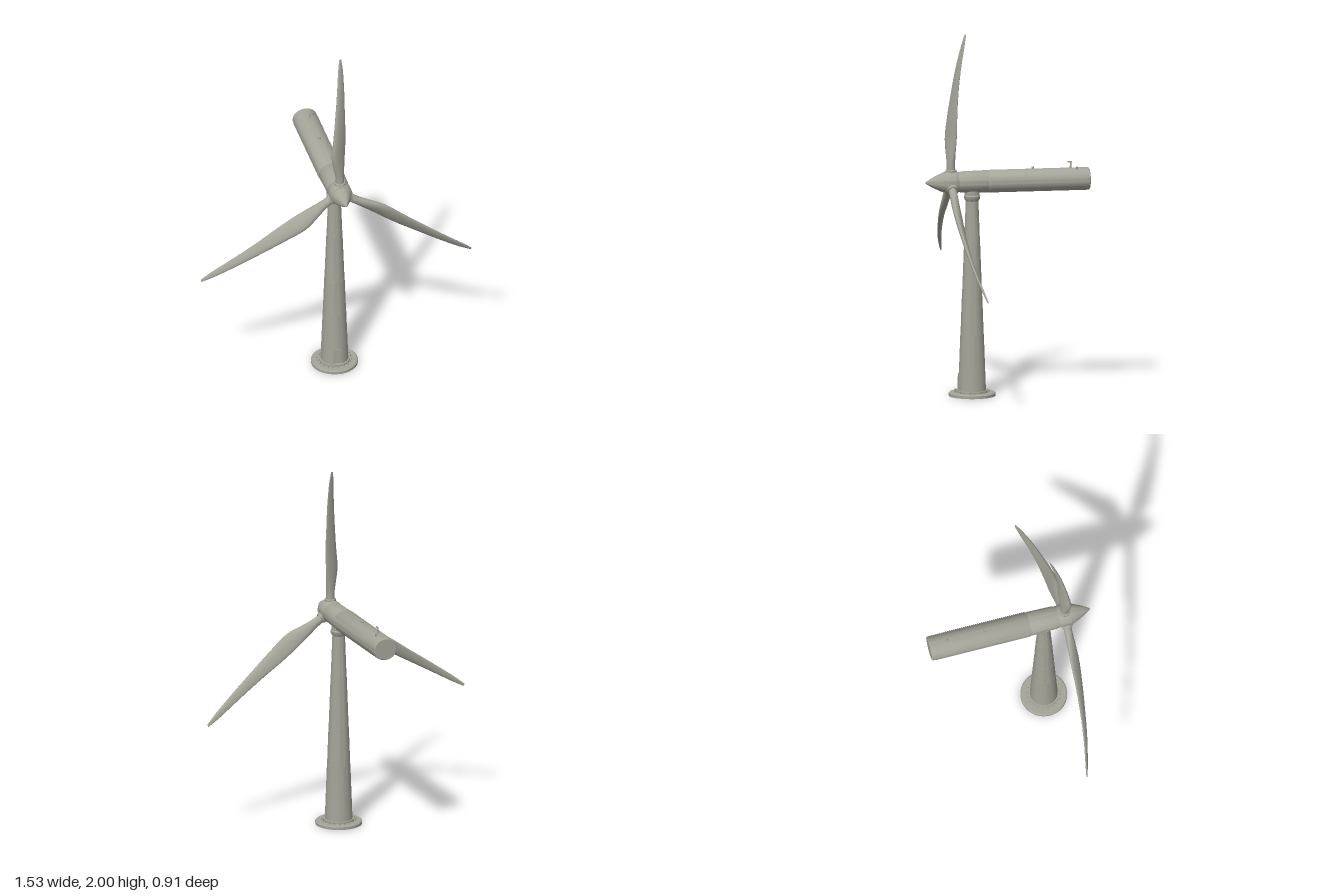
import * as THREE from 'three';
import { toCreasedNormals } from 'three/addons/utils/BufferGeometryUtils.js';

const TOWER_Z = 0.195, AXIS_Y = 1.183;

export function createModel() {
  const group = new THREE.Group();
  const paint = new THREE.MeshStandardMaterial({ color: 0xa5a499 });
  paint.name = 'warm grey paint';

  const add = (name, geometry, x = 0, y = 0, z = 0) => {
    const mesh = new THREE.Mesh(geometry, paint);
    mesh.name = name;
    mesh.position.set(x, y, z);
    group.add(mesh);
    return mesh;
  };
  // Turned part from [radius, height] pairs; edges sharper than 35 degrees stay crisp
  const turned = (pairs, segments = 40, start = 0, sweep = Math.PI * 2) => toCreasedNormals(
    new THREE.LatheGeometry(pairs.map(p => new THREE.Vector2(...p)), segments, start, sweep), 0.6);
  // The same, lying along z
  const lying = (...args) => turned(...args).rotateX(Math.PI / 2);

  // Foundation disc
  add('base', turned([[0, 0], [0.128, 0], [0.128, 0.015], [0.122, 0.02], [0.085, 0.02], [0.085, 0.03], [0, 0.03]]), 0, 0, TOWER_Z);
  const BOLTS = 20;
  for (let i = 0; i < BOLTS; i++) {
    const a = i / BOLTS * Math.PI * 2;
    add('baseBolt', new THREE.CylinderGeometry(0.004, 0.004, 0.01, 6),
      Math.cos(a) * 0.093, 0.024, TOWER_Z + Math.sin(a) * 0.093);
  }

  // Tapered tower sections with a slight step at each joint
  const levels = [0.03, 0.34, 0.55, 0.85, 1.09];
  const radiusAt = y => 0.077 - 0.04 * y;
  for (let i = 0; i < levels.length - 1; i++) {
    const [y0, y1] = [levels[i], levels[i + 1]];
    add('towerSection', turned([[radiusAt(y0), y0], [radiusAt(y1) + 0.001, y1 - 0.006],
      [radiusAt(y1) + 0.001, y1], [radiusAt(y1) - 0.004, y1]]), 0, 0, TOWER_Z);
  }
  // Yaw bearing under the nacelle
  add('yawCollar', turned([[0.033, 1.075], [0.043, 1.09], [0.045, 1.105], [0.04, 1.11], [0.04, 1.15]]), 0, 0, TOWER_Z);

  // Door with a small step
  const door = add('door', new THREE.BoxGeometry(0.036, 0.085, 0.008), 0, 0.082, TOWER_Z + 0.073);
  door.rotation.x = -0.04;
  add('doorStep', new THREE.BoxGeometry(0.04, 0.012, 0.025), 0, 0.032, TOWER_Z + 0.08);

  // Nacelle, slightly wider than tall
  const nacelle = add('nacelle', lying([[0, -0.452], [0.058, -0.452], [0.062, -0.447], [0.062, 0.105],
    [0.06, 0.108], [0.06, 0.112], [0.061, 0.115], [0.058, 0.25], [0.054, 0.275], [0, 0.275]], 48), 0, AXIS_Y, 0);
  nacelle.scale.x = 1.1;
  // Long curved covers on both sides
  for (const side of [1, -1]) {
    const sweep = 1.35, start = side > 0 ? 0.7 : -0.7 - sweep;
    const cover = add('sideCover', lying([[0.06, -0.43], [0.0635, -0.43], [0.0635, 0.1], [0.06, 0.1]], 16, start, sweep), 0, AXIS_Y, 0);
    cover.scale.x = 1.1;
  }
  // Roof instruments
  add('roofSensor', new THREE.CylinderGeometry(0.006, 0.008, 0.014, 10), 0.003, 1.25, -0.14);
  add('windMast', new THREE.CylinderGeometry(0.004, 0.005, 0.04, 8), 0.003, 1.26, -0.35);
  add('windVane', new THREE.BoxGeometry(0.006, 0.008, 0.022), 0.003, 1.278, -0.345);
  add('mastStub', new THREE.CylinderGeometry(0.003, 0.003, 0.02, 6), 0.028, 1.245, -0.38);

  // Hub and pointed spinner
  add('hub', lying([[0, 0.268], [0.052, 0.268], [0.061, 0.28], [0.063, 0.3], [0.063, 0.335], [0.058, 0.35], [0, 0.35]]), 0, AXIS_Y, 0);
  add('spinner', lying([[0.056, 0.345], [0.053, 0.36], [0.042, 0.385], [0.028, 0.413], [0.012, 0.441], [0.004, 0.452], [0, 0.455]]), 0, AXIS_Y, 0);

  // Blades: angle in the rotor plane (clockwise from the front) and length
  for (const [degrees, length] of [[0, 0.817], [124.2, 0.933], [-124.6, 0.912]]) {
    const arm = new THREE.Group();
    arm.name = 'bladeArm';
    arm.position.set(0, AXIS_Y, 0);
    arm.rotation.z = -THREE.MathUtils.degToRad(degrees);
    const blade = new THREE.Mesh(bladeGeometry(length), paint);
    blade.name = 'blade';
    const socket = new THREE.Mesh(turned([[0.031, 0.02], [0.031, 0.066], [0.028, 0.07], [0.02, 0.07]], 24), paint);
    socket.name = 'bladeSocket';
    socket.position.z = 0.312;
    arm.add(blade, socket);
    group.add(arm);
  }
  return group;
}

// Blade lofted upwards through twisted teardrop sections
function bladeGeometry(length) {
  // sweep x, span fraction, bend z, chord, thickness, twist
  const stations = [
    [0, 0.03, 0.312, 0.046, 0.046, 0.5],
    [0, 0.11, 0.312, 0.048, 0.044, 0.5],
    [-0.003, 0.18, 0.312, 0.066, 0.041, 0.52],
    [-0.008, 0.29, 0.311, 0.094, 0.035, 0.52],
    [0, 0.43, 0.305, 0.086, 0.028, 0.48],
    [0.006, 0.58, 0.294, 0.068, 0.022, 0.45],
    [0.014, 0.76, 0.275, 0.05, 0.017, 0.42],
    [0.02, 0.92, 0.25, 0.032, 0.012, 0.38],
    [0.022, 1, 0.236, 0.014, 0.006, 0.35],
  ];
  const curve = k => new THREE.CatmullRomCurve3(stations.map(s => new THREE.Vector3(s[k], s[k + 1], s[k + 2])));
  const spine = curve(0), shape = curve(3);
  const RINGS = 40, SIDES = 20, positions = [], index = [];

  for (let i = 0; i <= RINGS; i++) {
    const c = spine.getPoint(i / RINGS), s = shape.getPoint(i / RINGS);
    const flat = 1 - s.y / s.x; // round root, teardrop further out
    for (let j = 0; j < SIDES; j++) {
      const a = j / SIDES * Math.PI * 2;
      const u = Math.cos(a) * s.x / 2;
      const v = Math.sin(a) * s.y / 2 * (1 - 0.35 * flat * Math.cos(a));
      positions.push(c.x + u * Math.cos(s.z) + v * Math.sin(s.z), c.y * length,
        c.z - u * Math.sin(s.z) + v * Math.cos(s.z));
    }
  }
  for (let i = 0; i < RINGS; i++) {
    for (let j = 0; j < SIDES; j++) {
      const a = i * SIDES + j, b = i * SIDES + (j + 1) % SIDES;
      index.push(a, a + SIDES, b, b, a + SIDES, b + SIDES);
    }
  }
  // Close the tip
  const last = RINGS * SIDES;
  for (let j = 1; j < SIDES - 1; j++) index.push(last, last + j + 1, last + j);

  const geometry = new THREE.BufferGeometry();
  geometry.setAttribute('position', new THREE.Float32BufferAttribute(positions, 3));
  geometry.setIndex(index);
  geometry.computeVertexNormals();
  return geometry;
}
